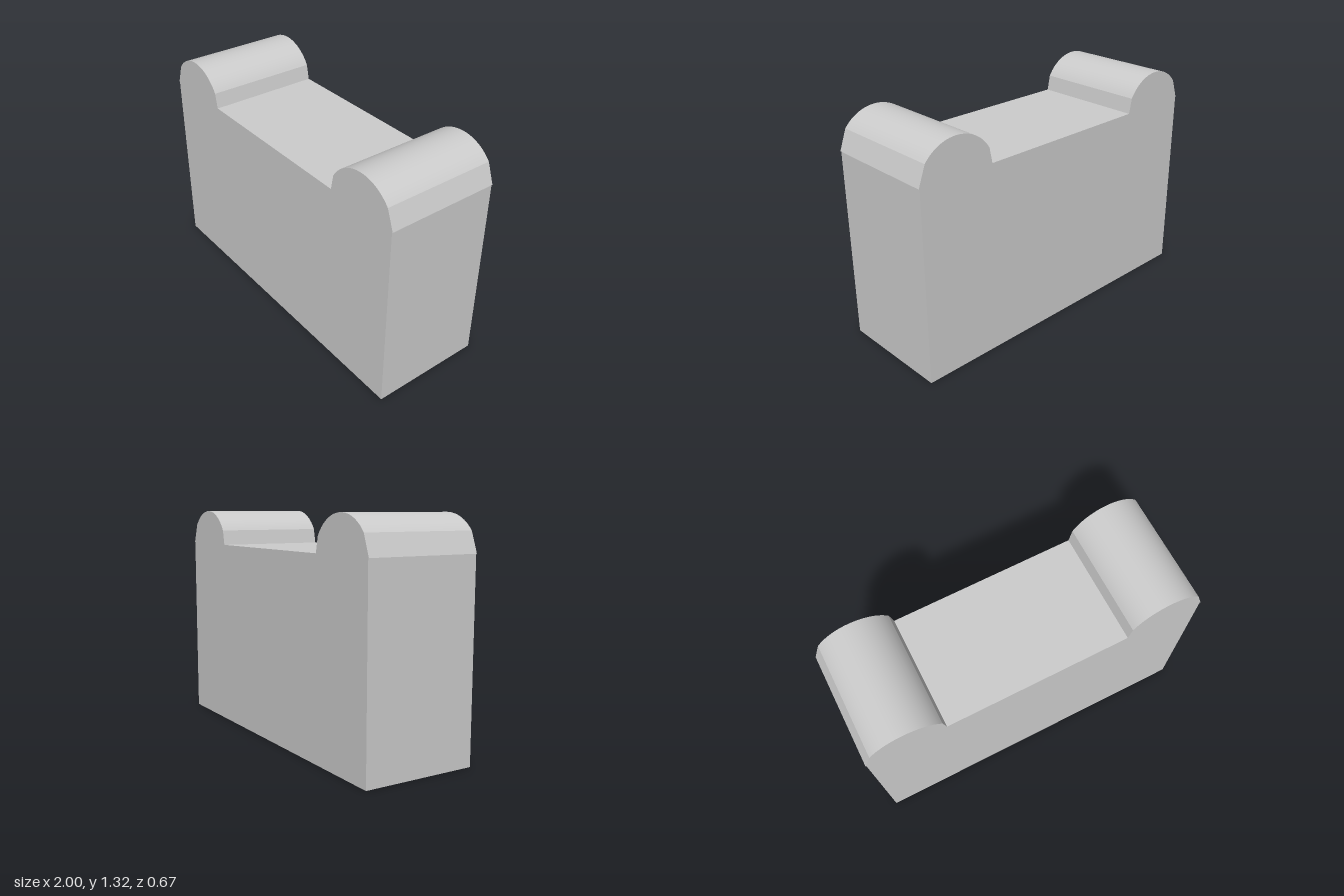
import * as THREE from 'three';
import { toCreasedNormals } from 'three/addons/utils/BufferGeometryUtils.js';

const DEPTH = 0.667, SEAT_Y = 1.115;

// Rounded roll along z: short sloping flanks joined by a circular arc
function rollGeometry(side) {
  const cx = 0.767, cy = 1.08, r = 0.243;
  const outer = Math.atan2(1.232 - cy, 0.96 - cx);
  const inner = Math.atan2(1.203 - cy, 0.559 - cx);
  const points = [new THREE.Vector2(side, SEAT_Y)];
  for (let i = 0; i <= 24; i++) {
    const a = outer + (inner - outer) * i / 24;
    points.push(new THREE.Vector2(side * (cx + r * Math.cos(a)), cy + r * Math.sin(a)));
  }
  points.push(new THREE.Vector2(side * 0.54, SEAT_Y));
  const geometry = new THREE.ExtrudeGeometry(new THREE.Shape(points), { depth: DEPTH, bevelEnabled: false });
  geometry.translate(0, 0, -DEPTH / 2);
  return toCreasedNormals(geometry, 0.2);
}

export function createModel() {
  const model = new THREE.Group();
  const material = new THREE.MeshStandardMaterial({ color: 0xcccccc });

  // Solid block, set in a hair from the outer edge of the rolls
  const body = new THREE.Mesh(new THREE.BoxGeometry(1.99, SEAT_Y, DEPTH), material);
  body.name = 'body';
  body.position.y = SEAT_Y / 2;
  model.add(body);

  // One roll on each end of the block
  for (const side of [1, -1]) {
    const roll = new THREE.Mesh(rollGeometry(side), material);
    roll.name = side > 0 ? 'leftRoll' : 'rightRoll';
    model.add(roll);
  }
  return model;
}
